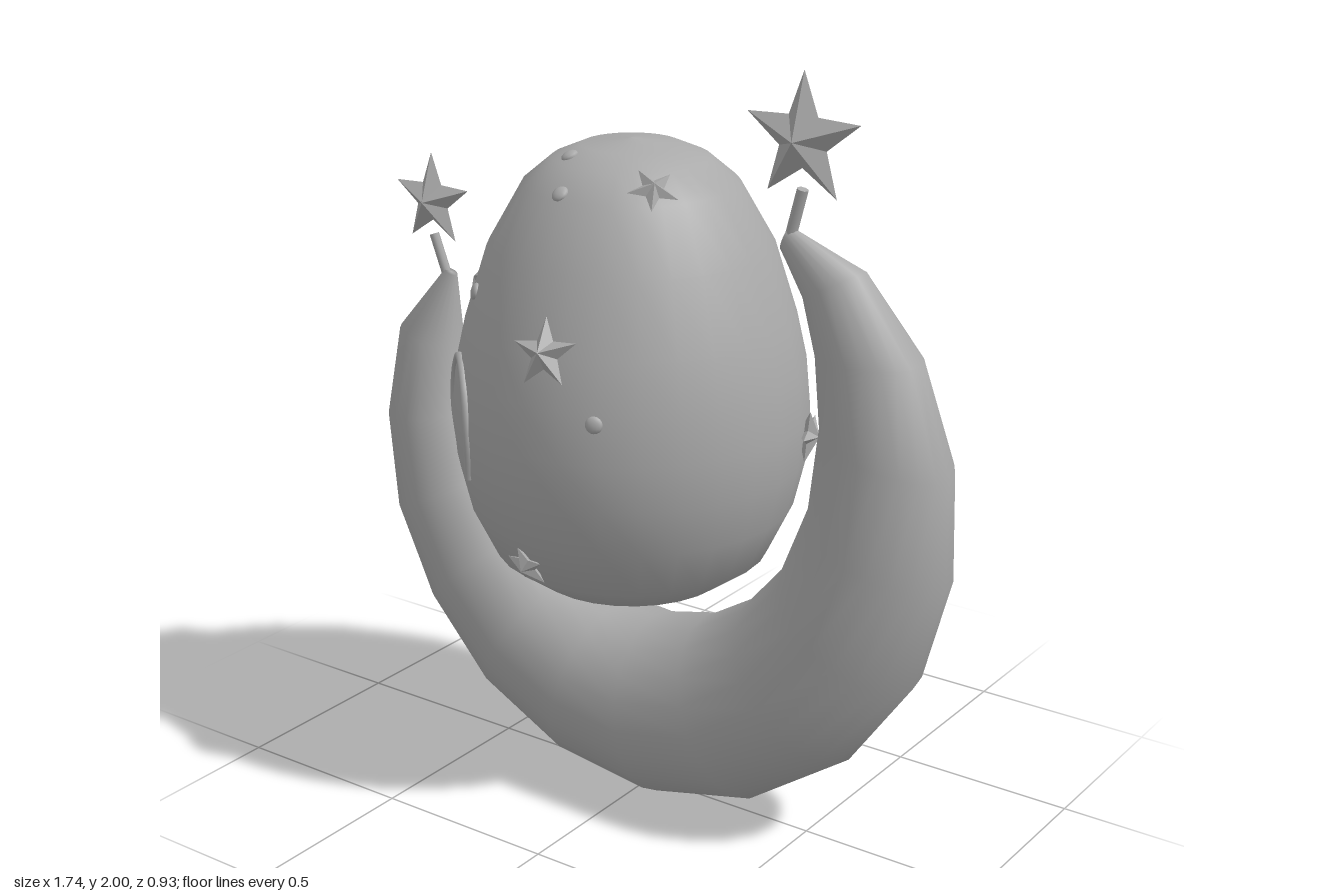
import * as THREE from 'three';

const V3 = (x, y, z) => new THREE.Vector3(x, y, z);
const EGG_X = -0.06;
// egg profile: radius, height
const PROFILE = [[0, 0.572], [0.13, 0.58], [0.255, 0.615], [0.36, 0.69], [0.425, 0.825], [0.455, 0.95], [0.464, 1.07],
  [0.452, 1.2], [0.425, 1.32], [0.365, 1.51], [0.275, 1.667], [0.2, 1.73], [0.125, 1.762], [0, 1.777]];

// radius and outward slope of the egg at height y
function eggAt(y) {
  let i = 0;
  while (i < PROFILE.length - 2 && PROFILE[i + 1][1] < y) i++;
  const [r0, y0] = PROFILE[i], [r1, y1] = PROFILE[i + 1];
  const t = (y - y0) / (y1 - y0);
  return { r: r0 + (r1 - r0) * t, nr: y1 - y0, ny: r0 - r1 };
}

// point and normal on the egg, in the horizontal direction (dx, dz)
function onEgg(dx, dz, y) {
  const e = eggAt(y), d = Math.hypot(dx, dz);
  return {
    p: V3(EGG_X + dx / d * e.r, y, dz / d * e.r),
    n: V3(dx / d * e.nr, e.ny, dz / d * e.nr).normalize(),
  };
}

// five-pointed star with a raised centre on both sides, facets kept flat
function starGeometry(R, depth) {
  const rim = [], pos = [];
  for (let i = 0; i < 10; i++) {
    const a = Math.PI / 2 + i * Math.PI / 5, r = i % 2 ? R * 0.42 : R;
    rim.push([Math.cos(a) * r, Math.sin(a) * r, 0]);
  }
  rim.forEach((p, i) => {
    const q = rim[(i + 1) % 10];
    pos.push(0, 0, depth, ...p, ...q, 0, 0, -depth, ...q, ...p);
  });
  const g = new THREE.BufferGeometry();
  g.setAttribute('position', new THREE.Float32BufferAttribute(pos, 3));
  g.computeVertexNormals();
  return g;
}

// crescent lofted through elliptical sections
function crescentGeometry() {
  // outer x, outer y, inner x, inner y, half depth
  const S = [
    [-0.68, 1.34, -0.645, 1.325, 0.015], [-0.83, 1.165, -0.645, 1.127, 0.08], [-0.87, 0.91, -0.6, 0.947, 0.125],
    [-0.83, 0.64, -0.513, 0.783, 0.16], [-0.7, 0.39, -0.397, 0.645, 0.185], [-0.5, 0.18, -0.254, 0.55, 0.205],
    [-0.23, 0.042, -0.106, 0.503, 0.215], [0.07, 0.003, 0.01, 0.492, 0.22], [0.37, 0.075, 0.17, 0.53, 0.22],
    [0.62, 0.25, 0.317, 0.62, 0.212], [0.795, 0.5, 0.434, 0.757, 0.2], [0.873, 0.785, 0.503, 0.937, 0.175],
    [0.868, 1.07, 0.524, 1.153, 0.143], [0.778, 1.335, 0.5, 1.33, 0.11], [0.615, 1.535, 0.46, 1.455, 0.072],
    [0.41, 1.62, 0.385, 1.56, 0.015]];
  // close both tips
  const tip = ([a, b, c, d]) => [(a + c) / 2, (b + d) / 2, (a + c) / 2, (b + d) / 2, 0];
  const rings = [tip(S[0]), ...S, tip(S[S.length - 1])];
  const N = 20, pos = [], index = [];
  rings.forEach(([ox, oy, ix, iy, w], i) => {
    for (let j = 0; j < N; j++) {
      const a = j / N * Math.PI * 2, c = Math.cos(a);
      pos.push((ox + ix) / 2 + (ox - ix) / 2 * c, (oy + iy) / 2 + (oy - iy) / 2 * c, w * Math.sin(a));
      if (i < rings.length - 1) {
        const k = (j + 1) % N, p = i * N, q = p + N;
        index.push(p + j, q + j, p + k, q + j, q + k, p + k);
      }
    }
  });
  const g = new THREE.BufferGeometry();
  g.setAttribute('position', new THREE.Float32BufferAttribute(pos, 3));
  g.setIndex(index);
  g.computeVertexNormals();
  return g;
}

export function createModel() {
  const model = new THREE.Group();
  model.name = 'eggOnCrescentMoon';
  const grey = new THREE.MeshStandardMaterial({ color: 0xaaaaaa });
  grey.name = 'plain grey';
  const add = (name, geometry) => {
    const m = new THREE.Mesh(geometry, grey);
    m.name = name;
    model.add(m);
    return m;
  };

  add('crescentMoon', crescentGeometry());
  const egg = add('egg', new THREE.LatheGeometry(PROFILE.map(([r, y]) => new THREE.Vector2(r, y)), 28));
  egg.position.x = EGG_X;

  // stars lying on the shell: direction x, direction z, height, size, turn
  const stars = [[0.05, 0.42, 1.33, 0.09, 0.1], [-0.04, 0.37, 0.75, 0.062, 0.1], [0.145, 0.13, 1.695, 0.066, 0.4],
    [-0.405, 0.1, 1.36, 0.07, 0.2], [-0.39, -0.22, 1.27, 0.07, 0.3], [-0.01, -0.27, 1.64, 0.08, 0.3],
    [0.45, -0.16, 1.035, 0.07, 0.2]];
  for (const [dx, dz, y, R, turn] of stars) {
    const { p, n } = onEgg(dx, dz, y);
    const s = add('shellStar', starGeometry(R, R * 0.4));
    s.position.copy(p).addScaledVector(n, 0.008);
    s.lookAt(s.position.clone().add(n));
    s.rotateZ(turn);
  }

  // small bumps on the shell: direction x, direction z, height
  const bumps = [[0.19, 0.42, 1.175], [-0.02, 0.2, 1.68], [-0.06, 0.1, 1.745], [-0.28, 0.29, 1.4], [-0.4, 0.22, 1.175],
    [-0.36, 0.22, 0.82], [0.32, -0.33, 0.99], [-0.13, -0.38, 1.39], [0.11, -0.38, 0.78]];
  for (const [dx, dz, y] of bumps) {
    const { p, n } = onEgg(dx, dz, y);
    const b = add('shellBump', new THREE.SphereGeometry(0.022, 12, 8));
    b.scale.z = 0.5;
    b.position.copy(p);
    b.lookAt(p.clone().add(n));
  }

  // raised arch following the shell
  const arch = [[-0.452, 0.94], [-0.457, 1.07], [-0.425, 1.18], [-0.36, 1.235], [-0.3, 1.18], [-0.272, 1.06], [-0.287, 0.94]]
    .map(([x, y]) => {
      const r = eggAt(y).r, dx = x - EGG_X;
      return onEgg(dx, Math.sqrt(r * r - dx * dx), y).p;
    });
  add('shellArch', new THREE.TubeGeometry(new THREE.CatmullRomCurve3(arch), 28, 0.011, 6));

  // a post and a large star above each tip
  const tips = [
    { from: V3(0.405, 1.57, 0), to: V3(0.443, 1.715, 0), r: 0.015, x: 0.44, y: 1.835, R: 0.165, depth: 0.052 },
    { from: V3(-0.678, 1.325, 0), to: V3(-0.718, 1.43, 0), r: 0.013, x: -0.72, y: 1.523, R: 0.13, depth: 0.045 }];
  for (const t of tips) {
    const dir = t.to.clone().sub(t.from);
    const post = add('starPost', new THREE.CylinderGeometry(t.r, t.r, dir.length(), 8));
    post.position.copy(t.from).addScaledVector(dir, 0.5);
    post.quaternion.setFromUnitVectors(V3(0, 1, 0), dir.normalize());
    add('tipStar', starGeometry(t.R, t.depth)).position.set(t.x, t.y, 0);
  }
  return model;
}
